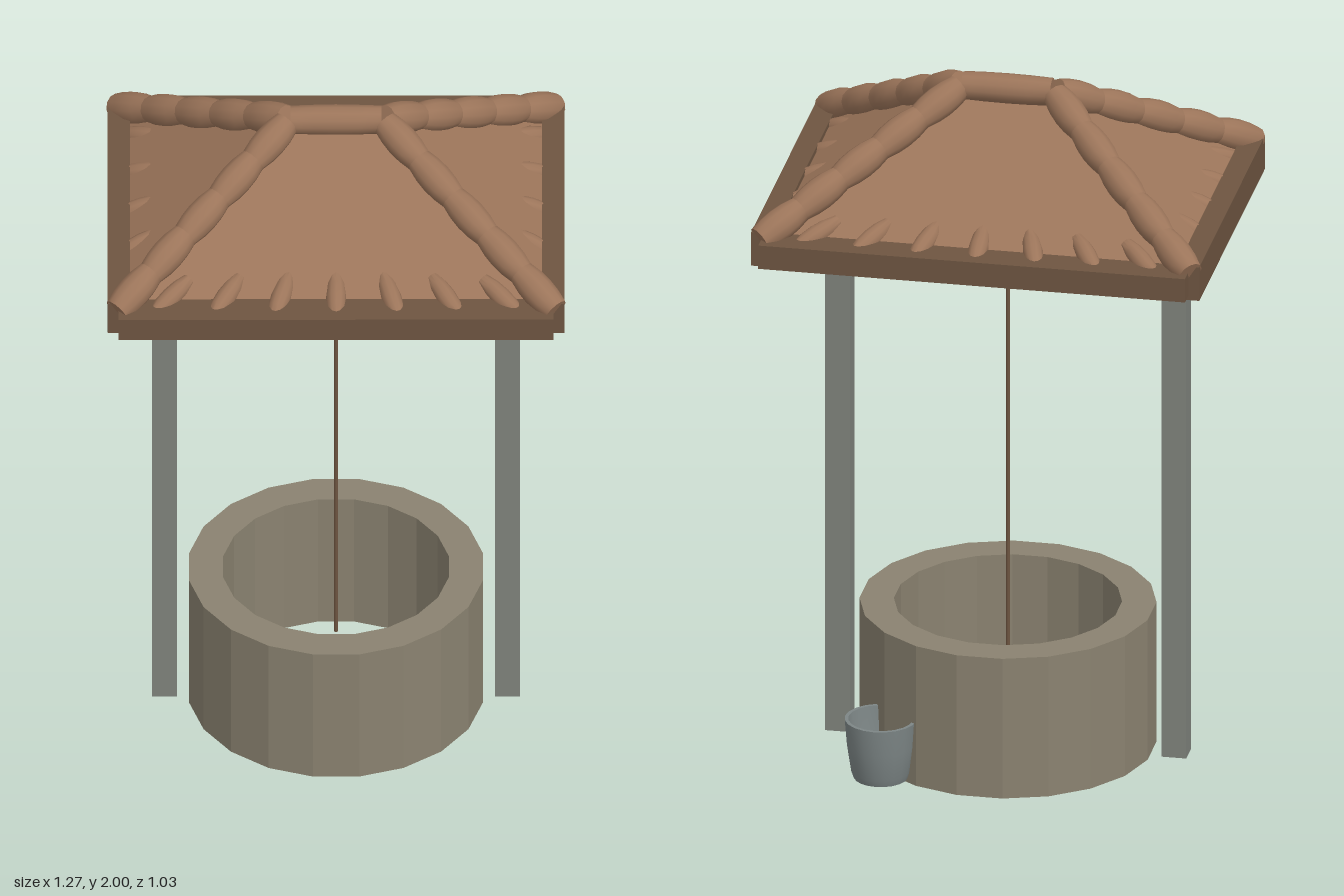
import * as THREE from 'three';
import { toCreasedNormals } from 'three/addons/utils/BufferGeometryUtils.js';

const material = (color, extra = {}) => new THREE.MeshStandardMaterial({ color, ...extra });
const V = (x, y, z) => new THREE.Vector3(x, y, z);
const profile = (pairs) => pairs.map(([r, y]) => new THREE.Vector2(r, y));

export function createModel() {
  const model = new THREE.Group();
  model.name = 'well';

  const stone = material(0x8a8270, { flatShading: true });
  const postGrey = material(0x7f837c);
  const metal = material(0x7d8686, { side: THREE.DoubleSide });
  const wood = material(0x6e5541);
  const clay = material(0x9c755a);
  const roofClay = material(0x9c755a, { flatShading: true, side: THREE.DoubleSide });

  function add(name, geometry, mat, x = 0, y = 0, z = 0, parent = model) {
    const mesh = new THREE.Mesh(geometry, mat);
    mesh.name = name;
    mesh.position.set(x, y, z);
    parent.add(mesh);
    return mesh;
  }

  // Barrel-shaped tile running from point a to point b
  function tile(name, a, b, middle, end, parent) {
    const h = a.distanceTo(b) / 2;
    const bulge = (middle + end) / 2 + (middle - end) * 0.25;
    const geometry = toCreasedNormals(new THREE.LatheGeometry(profile([
      [0, -h], [end, -h], [bulge, -h * 0.5], [middle, 0], [bulge, h * 0.5], [end, h], [0, h],
    ]), 12), 0.7);
    const mesh = add(name, geometry, clay, 0, 0, 0, parent);
    mesh.position.copy(a).add(b).multiplyScalar(0.5);
    mesh.quaternion.setFromUnitVectors(V(0, 1, 0), b.clone().sub(a).normalize());
  }

  // Round stone wall, open at both ends
  add('wellWall', new THREE.LatheGeometry(profile([
    [0.315, 0], [0.41, 0], [0.41, 0.42], [0.315, 0.42], [0.315, 0],
  ]), 20, Math.PI / 20), stone);

  // Bucket behind the wall
  const bucket = new THREE.LatheGeometry(profile([
    [0, 0.01], [0.075, 0.01], [0.082, 0.03], [0.094, 0.11], [0.1, 0.185],
    [0.09, 0.185], [0.082, 0.1], [0.07, 0.03], [0, 0.03],
  ]), 20);
  add('bucket', toCreasedNormals(bucket, 0.7), metal, 0.29, 0, -0.342);

  // Posts, cross beam and rope
  for (const side of [-1, 1]) {
    add(side > 0 ? 'leftPost' : 'rightPost', new THREE.BoxGeometry(0.07, 1.585, 0.07), postGrey, side * 0.473, 0.7925, 0);
  }
  add('crossBeam', new THREE.BoxGeometry(0.9, 0.05, 0.06), wood, 0, 1.57, 0);
  add('rope', new THREE.CylinderGeometry(0.006, 0.006, 1.35, 8), wood, 0, 0.875, 0);

  // Eave boards
  for (const side of [-1, 1]) {
    add(side > 0 ? 'frontEave' : 'backEave', new THREE.BoxGeometry(1.2, 0.07, 0.095), wood, 0, 1.62, side * 0.47);
    add(side > 0 ? 'leftEave' : 'rightEave', new THREE.BoxGeometry(0.062, 0.1, 0.93), wood, side * 0.599, 1.62, 0);
  }

  // Thin hipped roof: two ridge points and four eave corners
  const roof = new THREE.BufferGeometry();
  roof.setAttribute('position', new THREE.Float32BufferAttribute([
    -0.14, 1.93, 0, 0.14, 1.93, 0,
    -0.6, 1.635, 0.45, 0.6, 1.635, 0.45,
    0.6, 1.635, -0.45, -0.6, 1.635, -0.45,
  ], 3));
  roof.setIndex([0, 2, 3, 0, 3, 1, 1, 3, 4, 1, 4, 5, 1, 5, 0, 0, 5, 2]);
  roof.computeVertexNormals();
  add('roof', roof, roofClay);

  // Ridge tile and four rows of hip tiles
  const ridgeTiles = new THREE.Group();
  ridgeTiles.name = 'ridgeTiles';
  model.add(ridgeTiles);
  tile('ridgeTile', V(-0.125, 1.958, 0), V(0.125, 1.958, 0), 0.042, 0.039, ridgeTiles);
  const rowCount = 5;
  for (const sx of [-1, 1]) {
    for (const sz of [-1, 1]) {
      const top = V(sx * 0.135, 1.955, sz * 0.01);
      const bottom = V(sx * 0.605, 1.652, sz * 0.47);
      for (let i = 0; i < rowCount; i++) {
        const a = top.clone().lerp(bottom, i / rowCount);
        const b = top.clone().lerp(bottom, (i + 1) / rowCount);
        tile('hipTile', a, b, 0.046, 0.037, ridgeTiles);
      }
    }
  }

  // Small eave tiles, fanning outwards towards the corners
  const eaveTiles = new THREE.Group();
  eaveTiles.name = 'eaveTiles';
  model.add(eaveTiles);
  function eaveTile(x, z, dx, dz) {
    const half = V(dx * 0.07, -0.025, dz * 0.07);
    const c = V(x, 1.656, z);
    tile('eaveTile', c.clone().sub(half), c.clone().add(half), 0.028, 0.018, eaveTiles);
  }
  const fan = [0, 0.31, 0.58, 0.8];
  for (const side of [-1, 1]) {
    for (let i = -3; i <= 3; i++) {
      const yaw = Math.sign(i) * fan[Math.abs(i)];
      eaveTile(i * 0.152, side * 0.415, Math.sin(yaw), side * Math.cos(yaw));
    }
    for (let i = -2; i <= 2; i++) {
      const yaw = Math.sign(i) * fan[Math.abs(i)];
      eaveTile(side * 0.535, i * 0.165, side * Math.cos(yaw), Math.sin(yaw));
    }
  }

  return model;
}
